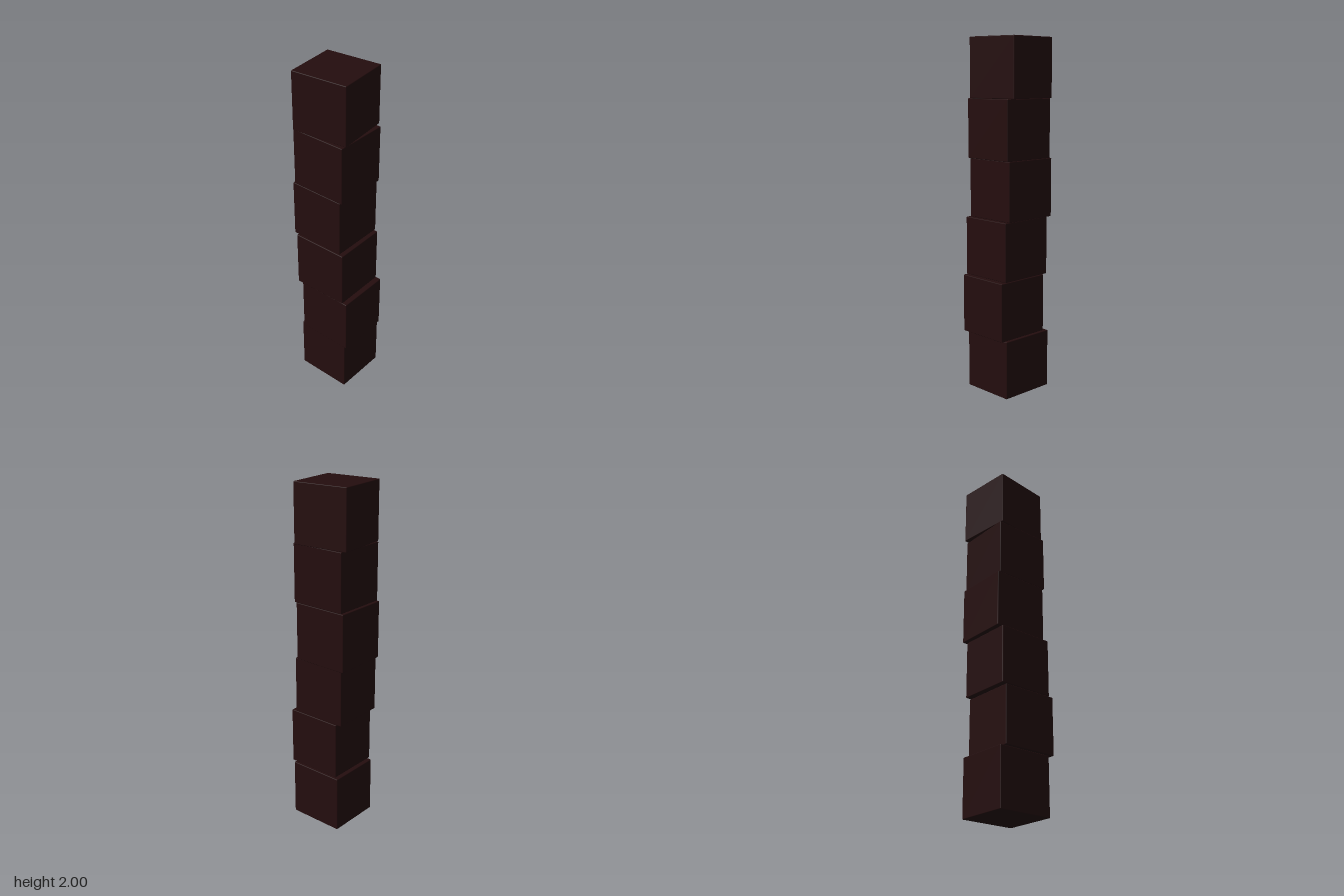
import * as THREE from 'three';
import { RoundedBoxGeometry } from 'three/addons/geometries/RoundedBoxGeometry.js';

// Stack of six slightly shifted and twisted blocks
export function createModel() {
  const group = new THREE.Group();
  group.name = 'blockStack';

  const darkMaroon = new THREE.MeshStandardMaterial({ color: 0x240d0e });
  darkMaroon.name = 'darkMaroon';

  const height = 2 / 6;
  const block = new RoundedBoxGeometry(0.317, height, 0.331, 2, 0.004);

  // x, z and twist in degrees, from the bottom up
  const placements = [
    [0.006, 0.006, -3],
    [-0.01, 0.029, -3],
    [-0.013, -0.001, -2.3],
    [-0.002, -0.024, -3],
    [-0.003, -0.01, -3],
    [0.004, -0.019, 3],
  ];

  placements.forEach(([x, z, twist], i) => {
    const mesh = new THREE.Mesh(block, darkMaroon);
    mesh.name = `block${i + 1}`;
    mesh.position.set(x, (i + 0.5) * height, z);
    mesh.rotation.y = THREE.MathUtils.degToRad(twist);
    group.add(mesh);
  });

  return group;
}
